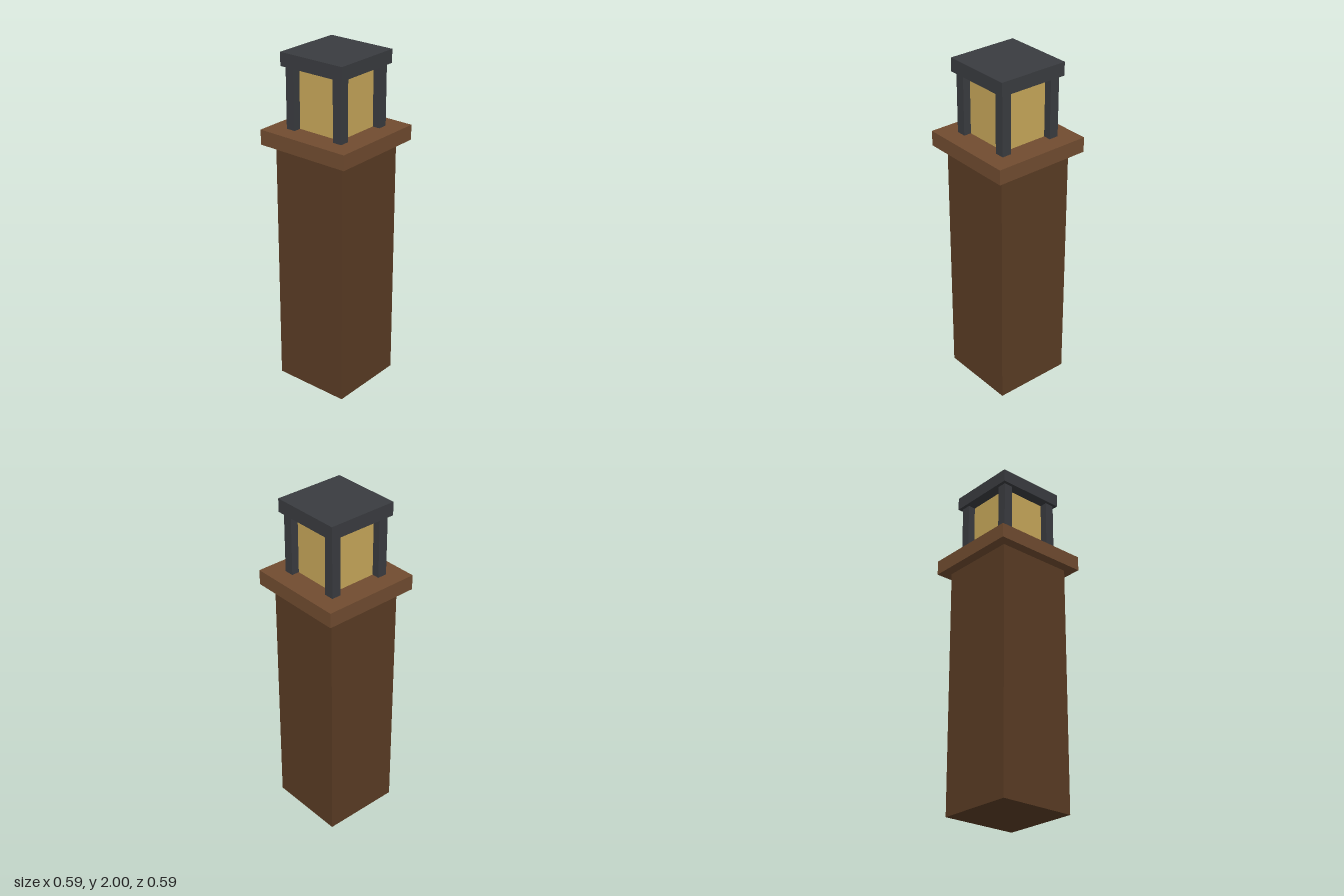
import * as THREE from 'three';

export function createModel() {
  const model = new THREE.Group();
  model.name = 'lanternPost';

  const paint = (color) => new THREE.MeshStandardMaterial({ color });
  const darkWood = paint(0x5a3c24);
  const lightWood = paint(0x714c30);
  const iron = paint(0x3a3c40);
  const glass = paint(0xc8a85a);

  // Square block centred on (x, z), spanning bottom to top
  const addBlock = (name, width, bottom, top, material, x = 0, z = 0, parent = model) => {
    const mesh = new THREE.Mesh(new THREE.BoxGeometry(width, top - bottom, width), material);
    mesh.name = name;
    mesh.position.set(x, (bottom + top) / 2, z);
    parent.add(mesh);
  };

  // Pillar and its overhanging ledge
  addBlock('pillar', 0.47, 0, 1.477, darkWood);
  addBlock('ledge', 0.588, 1.477, 1.565, lightWood);

  // Lantern: glowing core, four corner bars and a flat roof
  const lantern = new THREE.Group();
  lantern.name = 'lantern';
  model.add(lantern);
  addBlock('lampGlass', 0.294, 1.565, 1.922, glass, 0, 0, lantern);
  for (const x of [-1, 1]) {
    for (const z of [-1, 1]) {
      const name = (z > 0 ? 'front' : 'back') + (x > 0 ? 'Left' : 'Right') + 'Bar';
      addBlock(name, 0.057, 1.565, 1.922, iron, x * 0.164, z * 0.164, lantern);
    }
  }
  addBlock('roof', 0.424, 1.922, 2, iron, 0, 0, lantern);

  return model;
}
